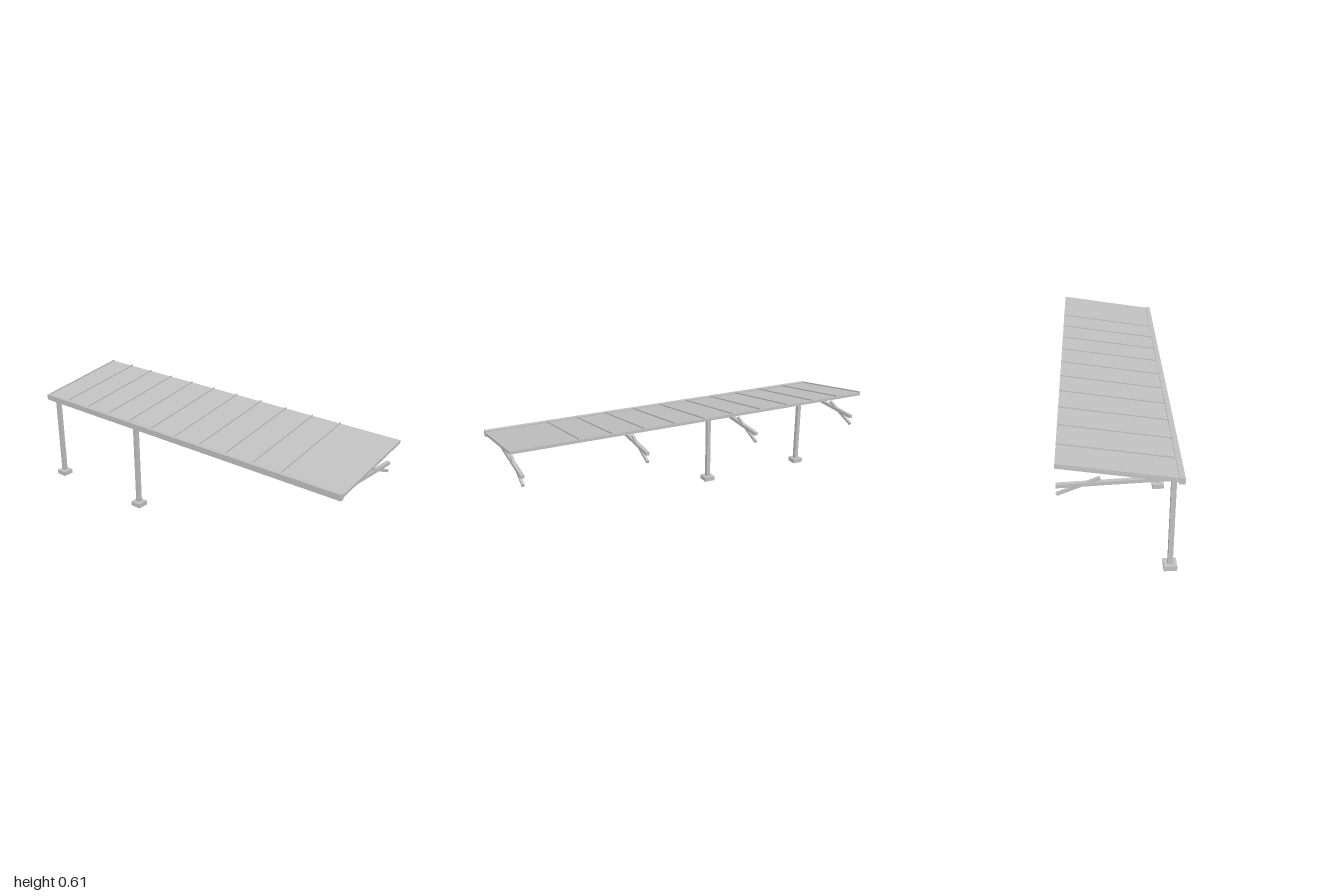
import * as THREE from 'three';

const steel = new THREE.MeshStandardMaterial({ color: 0xc0c0c0 });
steel.name = 'greySteel';

// Axis-aligned block
function block(name, w, h, d, x, y, z) {
  const mesh = new THREE.Mesh(new THREE.BoxGeometry(w, h, d), steel);
  mesh.name = name;
  mesh.position.set(x, y, z);
  return mesh;
}

// Sloping bar with plumb-cut ends, running from (z0, y0) to (z1, y1) along its centre line
function slopedBar(name, w, h, x, [z0, y0], [z1, y1]) {
  const geo = new THREE.BoxGeometry(w, h, Math.abs(z1 - z0));
  const pos = geo.attributes.position;
  const slope = (y1 - y0) / (z1 - z0);
  for (let i = 0; i < pos.count; i++) pos.setY(i, pos.getY(i) + slope * pos.getZ(i));
  geo.computeVertexNormals();
  const mesh = new THREE.Mesh(geo, steel);
  mesh.name = name;
  mesh.position.set(x, (y0 + y1) / 2, (z0 + z1) / 2);
  return mesh;
}

// Sloping bar with square-cut ends
function tiltedBar(name, w, h, x, [z0, y0], [z1, y1]) {
  const mesh = block(name, w, h, Math.hypot(z1 - z0, y1 - y0), x, (y0 + y1) / 2, (z0 + z1) / 2);
  mesh.rotation.x = -Math.atan2(y1 - y0, z1 - z0);
  return mesh;
}

export function createModel() {
  const canopy = new THREE.Group();
  canopy.name = 'canopy';

  // Roof sheet and front edge beam
  canopy.add(slopedBar('roofPanel', 2, 0.0148, 0, [0.252, 0.51], [-0.274, 0.5925]));
  canopy.add(block('frontBeam', 2, 0.031, 0.026, 0, 0.5075, 0.265));

  // Standing ribs, held just above the sheet
  for (let i = 0; i < 11; i++) {
    const x = Math.max(-1 + i / 6, -0.997);
    canopy.add(slopedBar('roofRib', 0.006, 0.007, x, [0.266, 0.5205], [-0.274, 0.6045]));
  }

  // Support arms with crossing braces
  for (const x of [-0.95, -0.317, 0.317, 0.95]) {
    const support = new THREE.Group();
    support.name = 'support';
    support.add(slopedBar('supportArm', 0.019, 0.0175, x, [0.248, 0.4945], [-0.274, 0.465]));
    support.add(tiltedBar('supportBrace', 0.013, 0.0138, x, [-0.084, 0.5005], [-0.273, 0.421]));
    canopy.add(support);
  }

  // Columns on square footings
  for (const x of [-0.953, -0.304]) {
    const column = new THREE.Group();
    column.name = 'column';
    column.add(block('columnPost', 0.0225, 0.464, 0.0235, x, 0.256, 0.2345));
    column.add(block('columnFooting', 0.062, 0.026, 0.062, x, 0.013, 0.234));
    canopy.add(column);
  }
  return canopy;
}
